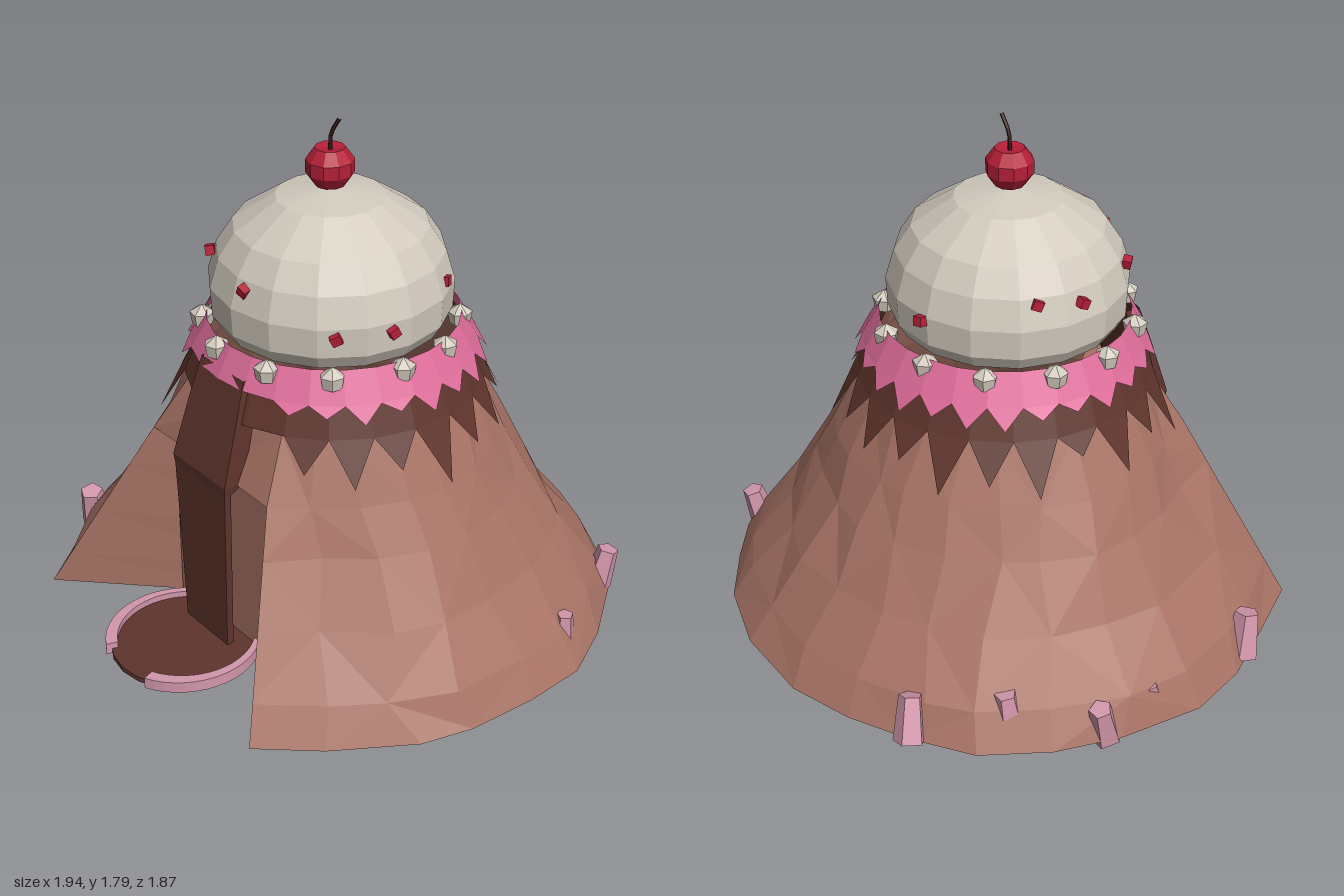
import * as THREE from 'three';

const mat = (name, color, both = false) => {
  const m = new THREE.MeshStandardMaterial({ color, flatShading: true, side: both ? THREE.DoubleSide : THREE.FrontSide });
  m.name = name;
  return m;
};
const V = (x, y, z) => new THREE.Vector3(x, y, z);
const noise = (i, j) => { const s = Math.sin(i * 12.99 + j * 78.23) * 43758.5; return (s - Math.floor(s)) * 2 - 1; };

// Piecewise-linear slope of the mountain: height -> radius
const SLOPE = [[0, 0.985], [0.12, 0.92], [0.3, 0.78], [0.5, 0.655], [0.65, 0.58], [0.85, 0.485], [1, 0.42], [1.07, 0.375]];
function slopeRadius(y) {
  for (let i = 1; i < SLOPE.length; i++) {
    const [y0, r0] = SLOPE[i - 1], [y1, r1] = SLOPE[i];
    if (y <= y1) return r0 + (r1 - r0) * (y - y0) / (y1 - y0);
  }
  return 0.375;
}
const onSlope = (a, y, out = 0) => {
  const r = slopeRadius(y) + out;
  return V(Math.sin(a) * r + 0.015 * y, y, Math.cos(a) * r * (0.96 + 0.04 * y) + 0.02 * y);
};

// Unindexed faces from corner lists (triangles or quads)
function faces(list) {
  const p = [];
  for (const f of list)
    for (let k = 1; k < f.length - 1; k++) p.push(...f[0].toArray(), ...f[k].toArray(), ...f[k + 1].toArray());
  const g = new THREE.BufferGeometry();
  g.setAttribute('position', new THREE.Float32BufferAttribute(p, 3));
  g.computeVertexNormals();
  return g;
}
// Downward-facing polygon at height y
function flatFace(points, y) {
  const g = new THREE.ShapeGeometry(new THREE.Shape(points.map(p => new THREE.Vector2(p.x, p.z))));
  return g.rotateX(Math.PI / 2).translate(0, y, 0);
}

export function createModel() {
  const group = new THREE.Group();
  const cake = mat('cakeBrown', 0xa87365, true);
  const chocolate = mat('chocolate', 0x5e342c, true);
  const pink = mat('pinkIcing', 0xdd6c99, true);
  const cream = mat('cream', 0xd2cabe);
  const red = mat('cherryRed', 0xb51f38);
  const candy = mat('candyPink', 0xd297ab);
  const dark = mat('stemBrown', 0x3b1f1b);
  const add = (name, geo, material, parent = group) => {
    const m = new THREE.Mesh(geo, material);
    m.name = name;
    parent.add(m);
    return m;
  };
  const sub = name => { const g = new THREE.Group(); g.name = name; group.add(g); return g; };

  // Mountain: faceted rings, open at the front below the ledge
  const mountain = sub('mountain');
  const N = 20, LEDGE = 4, heights = SLOPE.slice(0, 7).map(s => s[0]);
  const rings = heights.map((y, j) => {
    const t = Math.min(y / 0.65, 1), a0 = THREE.MathUtils.lerp(0.61, 0.54, t);
    return Array.from({ length: N + 1 }, (_, i) => {
      if (j <= LEDGE && (i === 0 || i === N))
        return V((i ? -1 : 1) * (0.58 - 0.265 * t), y, 0.82 - 0.285 * t);
      const a = a0 + (2 * Math.PI - 2 * a0) * i / N;
      const inner = i > 0 && i < N ? 1 : 0;
      const wob = inner * noise(i, j) * (j < LEDGE ? 0.018 : 0.008);
      return onSlope(a + inner * noise(j, i) * 0.05, y, j ? wob : Math.min(wob, 0.012));
    });
  });
  const front = { 4: V(0.01, 0.65, 0.53), 5: V(0.01, 0.85, 0.475), 6: V(0.01, 1, 0.43) };
  const apex = V(0, 0, 0.25);
  const skin = [], notch = [];
  for (let j = 0; j < rings.length - 1; j++) {
    const a = rings[j], b = rings[j + 1];
    for (let i = 0; i < N; i++) {
      if ((i + j) % 2) skin.push([a[i], a[i + 1], b[i + 1], b[i]]);
      else skin.push([a[i + 1], b[i + 1], b[i], a[i]]);
    }
    if (j >= LEDGE) {
      skin.push([a[N], front[j], front[j + 1], b[N]], [front[j], a[0], b[0], front[j + 1]]);
    } else {
      const lo = V(0, heights[j], 0.25), hi = V(0, heights[j + 1], 0.25);
      notch.push([a[0], lo, hi, b[0]], [lo, a[N], b[N], hi]);
    }
  }
  add('mountainSlope', faces(skin), cake, mountain);
  add('alcoveWalls', faces(notch), cake, mountain);
  add('mountainBase', flatFace([...rings[0], apex], 0), cake, mountain);
  add('alcoveCeiling', flatFace([rings[4][0], front[4], rings[4][N], apex], 0.65), cake, mountain);
  add('alcoveBackWall', new THREE.PlaneGeometry(0.51, 0.65).translate(0.013, 0.325, 0.497), cake, mountain);

  // Zigzag icing collars hugging the slope
  function collar(count, top, out, edge, tip) {
    const list = [];
    for (let i = 0; i < count; i++) {
      const a = i * 2 * Math.PI / count, b = (i + 1) * 2 * Math.PI / count, m = (a + b) / 2;
      const p = onSlope(a, edge, out), q = onSlope(b, edge, out);
      list.push([p, q, onSlope(b, top, out), onSlope(a, top, out)]);
      const low = tip(m, i);
      if (low < edge) list.push([p, onSlope(m, low, out + 0.008), q]);
    }
    return faces(list);
  }
  const fromFront = a => Math.min(a, 2 * Math.PI - a);
  add('chocolateCollar', collar(22, 1.0, 0.022, 0.86,
    (a, i) => fromFront(a) < 0.6 ? 0.86 : (i % 2 ? 0.7 : 0.76) + noise(i, 3) * 0.035), chocolate);
  add('pinkCollar', collar(26, 1.07, 0.045, 0.97,
    (a, i) => fromFront(a) < 0.6 ? 0.97 : 0.92 + noise(i, 5) * 0.02), pink);

  // Chocolate fall: cross-sections [y, z front, z back, x left, x right]
  const fall = [[1.0, 0.475, 0.42, -0.1, 0.125], [0.86, 0.52, 0.45, -0.115, 0.14], [0.655, 0.583, 0.49, -0.13, 0.155],
    [0.62, 0.58, 0.555, -0.125, 0.15], [0, 0.575, 0.55, -0.1, 0.13]]
    .map(([y, f, b, l, r]) => [V(l, y, f), V(r, y, f), V(r, y, b), V(l, y, b)]);
  const fallFaces = [];
  for (let j = 0; j < fall.length - 1; j++)
    for (let k = 0; k < 4; k++) {
      const n = (k + 1) % 4;
      fallFaces.push([fall[j + 1][k], fall[j + 1][n], fall[j][n], fall[j][k]]);
    }
  add('chocolateFall', faces(fallFaces), chocolate);

  // Pool with a rim open at the front
  const pool = sub('pool');
  pool.position.set(0.01, 0, 0.67);
  add('poolSurface', new THREE.CylinderGeometry(0.245, 0.245, 0.018, 20).translate(0, 0.009, 0), chocolate, pool);
  const rimShape = new THREE.Shape();
  const gap = 0.45, s = -Math.PI / 2 + gap, e = 1.5 * Math.PI - gap;
  rimShape.absarc(0, 0, 0.262, s, e, false);
  rimShape.absarc(0, 0.012, 0.232, e, s, true);
  const rim = new THREE.ExtrudeGeometry(rimShape, { depth: 0.04, bevelEnabled: false, curveSegments: 20 });
  add('poolRim', rim.rotateX(-Math.PI / 2), candy, pool);

  // Cream dome
  const dome = [[0, 1.05], [0.37, 1.05], [0.4, 1.1], [0.405, 1.2], [0.375, 1.3], [0.32, 1.385], [0.18, 1.48], [0, 1.51]];
  add('creamDome', new THREE.LatheGeometry(dome.map(p => new THREE.Vector2(...p)), 16).translate(0.012, 0, 0.03), cream);

  // Cream beads around the dome foot
  const beads = sub('creamBeads');
  const beadProfile = [[0, -0.035], [0.034, -0.03], [0.042, 0.012], [0, 0.04]].map(p => new THREE.Vector2(...p));
  const beadGeo = new THREE.LatheGeometry(beadProfile, 6);
  for (let i = 0; i < 12; i++) {
    const a = i * Math.PI / 6 - 0.12 + noise(i, 1) * 0.05;
    const b = add('bead', beadGeo, cream, beads);
    b.position.set(0.012 + Math.sin(a) * 0.425, 1.045, 0.03 + Math.cos(a) * 0.425);
    b.rotation.y = a;
  }

  // Red sprinkles on the dome
  const sprinkles = sub('sprinkles');
  const sprinkleGeo = new THREE.BoxGeometry(0.034, 0.032, 0.03);
  [[-0.24, 1.28, 0.33], [0.05, 1.27, 0.41], [0.335, 1.17, 0.27], [0.41, 1.17, 0.1], [0.335, 1.23, -0.18],
    [-0.375, 1.26, 0.09], [-0.35, 1.28, -0.06], [-0.13, 1.19, -0.36]].forEach(([x, y, z], i) => {
    const m = add('sprinkle', sprinkleGeo, red, sprinkles);
    m.position.set(x, y, z);
    m.rotation.set(0.2, Math.atan2(x, z - 0.03), noise(i, 2) * 0.5);
  });

  // Cherry and stem
  const cherry = [[0, -0.07], [0.05, -0.062], [0.079, -0.02], [0.079, 0.025], [0.05, 0.065], [0, 0.055]];
  add('cherry', new THREE.LatheGeometry(cherry.map(p => new THREE.Vector2(...p)), 10).translate(0.015, 1.58, 0.035), red);
  const stem = new THREE.CatmullRomCurve3([V(0.015, 1.63, 0.035), V(0.02, 1.69, 0.035), V(0.052, 1.75, 0.025)]);
  add('cherryStem', new THREE.TubeGeometry(stem, 5, 0.007, 5), dark);

  // Candy crystals around the foot: x, y, z, size
  const crystals = sub('candyCrystals');
  const crystalGeo = new THREE.CylinderGeometry(0.036, 0.05, 0.14, 5);
  [[-0.65, 0.075, -0.67, 1.1], [0.66, 0.075, -0.67, 1.05], [-0.79, 0.1, -0.39, 1], [-0.93, 0.05, -0.12, 1.05],
    [-0.905, 0.07, 0.08, 0.75], [-0.79, 0.075, 0.51, 1.15], [0.85, 0.1, -0.29, 0.8]].forEach(([x, y, z, k], i) => {
    const c = add('crystal', crystalGeo, candy, crystals);
    c.position.set(x, y, z);
    c.scale.setScalar(k);
    c.rotation.set(noise(i, 7) * 0.35, i * 1.3, noise(i, 9) * 0.35);
  });
  return group;
}
